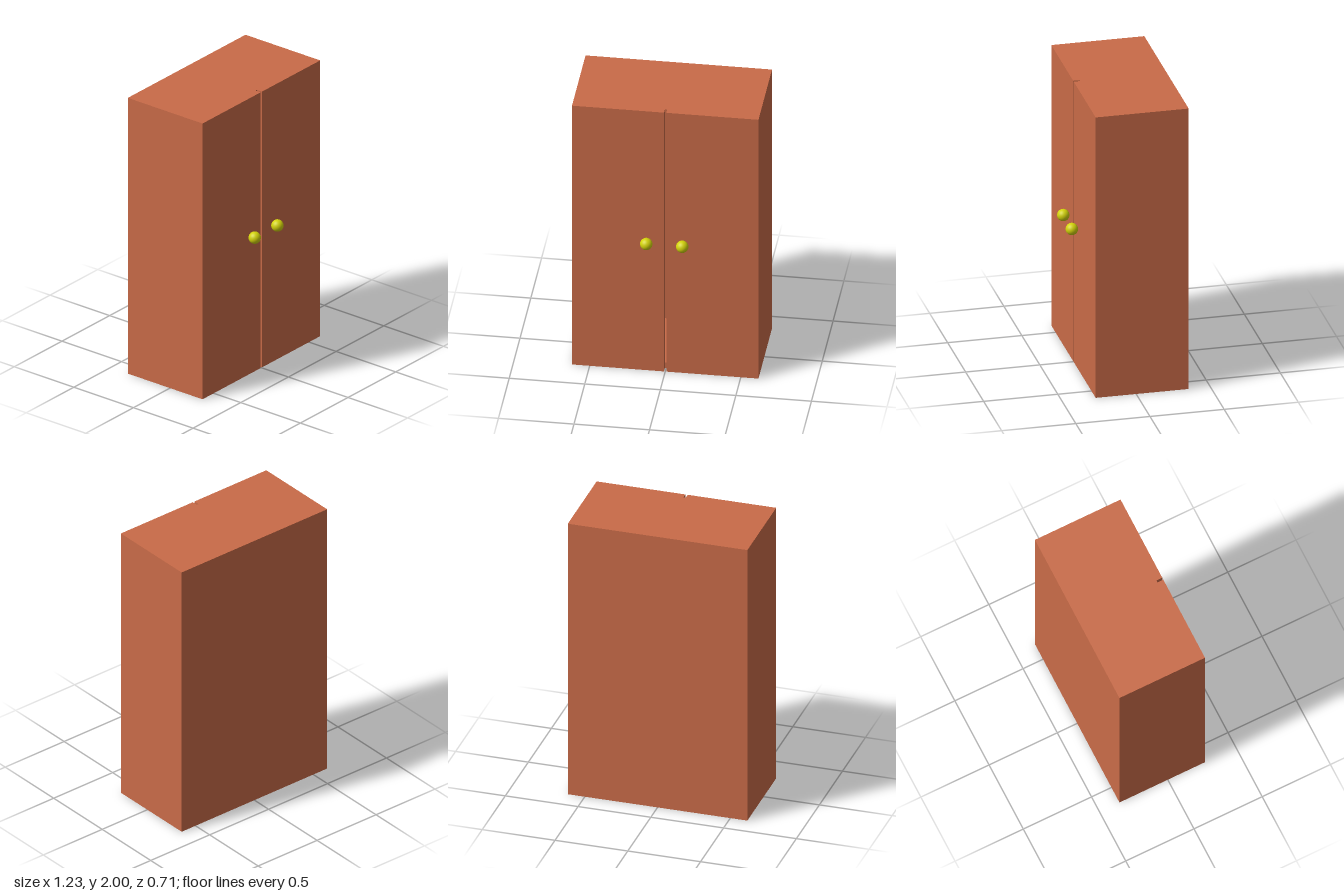
import * as THREE from 'three';

export function createModel() {
  const model = new THREE.Group();
  model.name = 'wardrobe';
  const wood = new THREE.MeshStandardMaterial({ color: 0xc96b48 });
  const brass = new THREE.MeshStandardMaterial({ color: 0xd2d20a });

  // Overall extents and panel thickness
  const X = 0.617, H = 2, T = 0.043;
  const back = -0.354, doorBack = 0.23, front = 0.273;

  // Box panel given by its minimum and maximum corners
  function panel(name, [x0, y0, z0], [x1, y1, z1]) {
    const mesh = new THREE.Mesh(new THREE.BoxGeometry(x1 - x0, y1 - y0, z1 - z0), wood);
    mesh.position.set((x0 + x1) / 2, (y0 + y1) / 2, (z0 + z1) / 2);
    mesh.name = name;
    model.add(mesh);
  }

  // Hollow carcass
  panel('leftSide', [X - T, 0, back], [X, H, doorBack]);
  panel('rightSide', [-X, 0, back], [-X + T, H, doorBack]);
  panel('bottomPanel', [-X + T, 0, back], [X - T, T, doorBack]);
  panel('topPanel', [-X + T, H - T, back], [X - T, H, doorBack]);
  panel('backPanel', [-X + T, T, back], [X - T, H - T, back + T]);

  // Two doors with a narrow gap between them
  panel('leftDoor', [0.007, 0, doorBack], [X, H, front]);
  panel('rightDoor', [-X, 0, doorBack], [-0.008, H, front]);

  // Round knobs touching the doors
  const knobGeometry = new THREE.SphereGeometry(0.041, 32, 16);
  for (const [name, x] of [['leftKnob', 0.118], ['rightKnob', -0.12]]) {
    const knob = new THREE.Mesh(knobGeometry, brass);
    knob.position.set(x, 1, 0.313);
    knob.name = name;
    model.add(knob);
  }

  return model;
}
